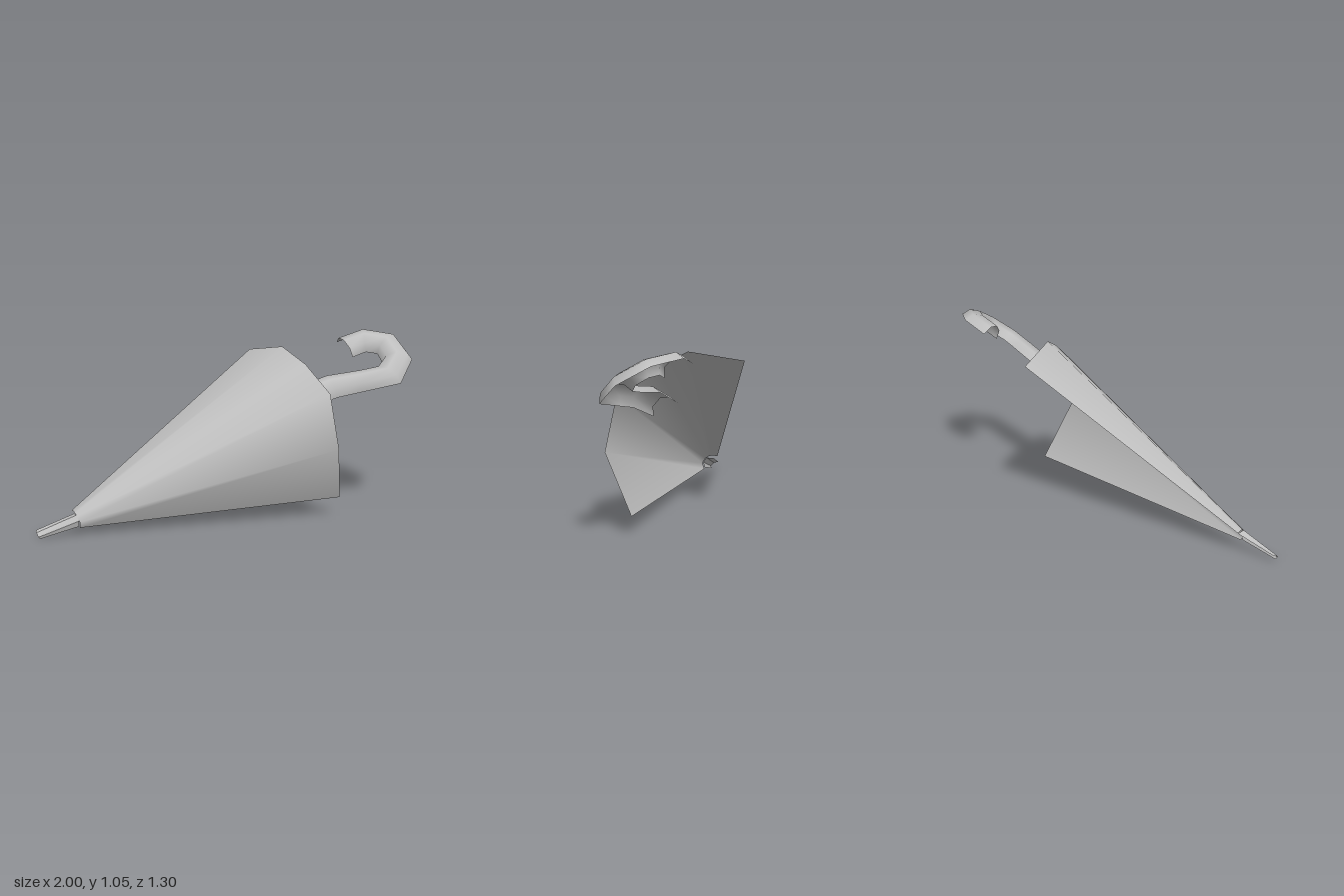
import * as THREE from 'three';

const grey = new THREE.MeshStandardMaterial({ color: 0xbfbfbf, side: THREE.DoubleSide });
grey.name = 'grey';

// Open surface joining a row of equal-length cross-sections
function loft(name, sections, flat = false) {
  const n = sections[0].length;
  const index = [];
  for (let i = 0; i < sections.length - 1; i++) {
    for (let j = 0; j < n - 1; j++) {
      const a = i * n + j, b = a + n;
      index.push(a, a + 1, b, a + 1, b + 1, b);
    }
  }
  let geometry = new THREE.BufferGeometry();
  geometry.setAttribute('position', new THREE.Float32BufferAttribute(sections.flat(2), 3));
  geometry.setIndex(index);
  if (flat) geometry = geometry.toNonIndexed();
  geometry.computeVertexNormals();
  const mesh = new THREE.Mesh(geometry, grey);
  mesh.name = name;
  return mesh;
}

export function createModel() {
  const group = new THREE.Group();
  group.name = 'umbrella';

  // Half-cone canopy, open at the back
  const collar = [
    [-0.835, 0.125, 0.47], [-0.815, 0.13, 0.495], [-0.8, 0.124, 0.515],
    [-0.785, 0.11, 0.53], [-0.765, 0.08, 0.538], [-0.77, 0.043, 0.525],
  ];
  const rim = [
    [0.01, 0.93, -0.48], [0.245, 0.985, -0.27], [0.4, 0.9, -0.17],
    [0.565, 0.755, -0.035], [0.625, 0.44, 0], [0.61, 0.107, -0.19],
  ];
  group.add(loft('canopy', [collar, rim]));

  // Faceted tapering tip
  group.add(loft('tip', [
    [[-1, 0.04, 0.61], [-0.988, 0.033, 0.636], [-0.972, 0.012, 0.648], [-0.965, 0, 0.638]],
    [[-0.815, 0.112, 0.48], [-0.79, 0.115, 0.525], [-0.77, 0.085, 0.535], [-0.775, 0.05, 0.525]],
  ], true));

  // Hooked handle: half tube on a sloping plane, each row = inner x, z, outer x, z
  const edges = [
    [0.194, -0.146, 0.276, -0.034],
    [0.5, -0.31, 0.59, -0.19],
    [0.7, -0.355, 0.72, -0.23],
    [0.785, -0.38, 0.945, -0.3],
    [0.82, -0.44, 0.995, -0.47],
    [0.785, -0.5, 0.885, -0.615],
    [0.715, -0.51, 0.68, -0.648],
    [0.64, -0.47, 0.53, -0.575],
  ];
  const sides = 4, depth = 0.075;
  group.add(loft('handle', edges.map(([ix, iz, ox, oz]) => {
    const section = [];
    for (let k = 0; k <= sides; k++) {
      const angle = Math.PI * k / sides;
      const t = (1 - Math.cos(angle)) / 2, bulge = depth * Math.sin(angle);
      const x = ix + (ox - ix) * t, z = iz + (oz - iz) * t;
      section.push([x, 0.575 - 0.695 * z + 0.82 * bulge, z + 0.57 * bulge]);
    }
    return section;
  })));

  return group;
}
